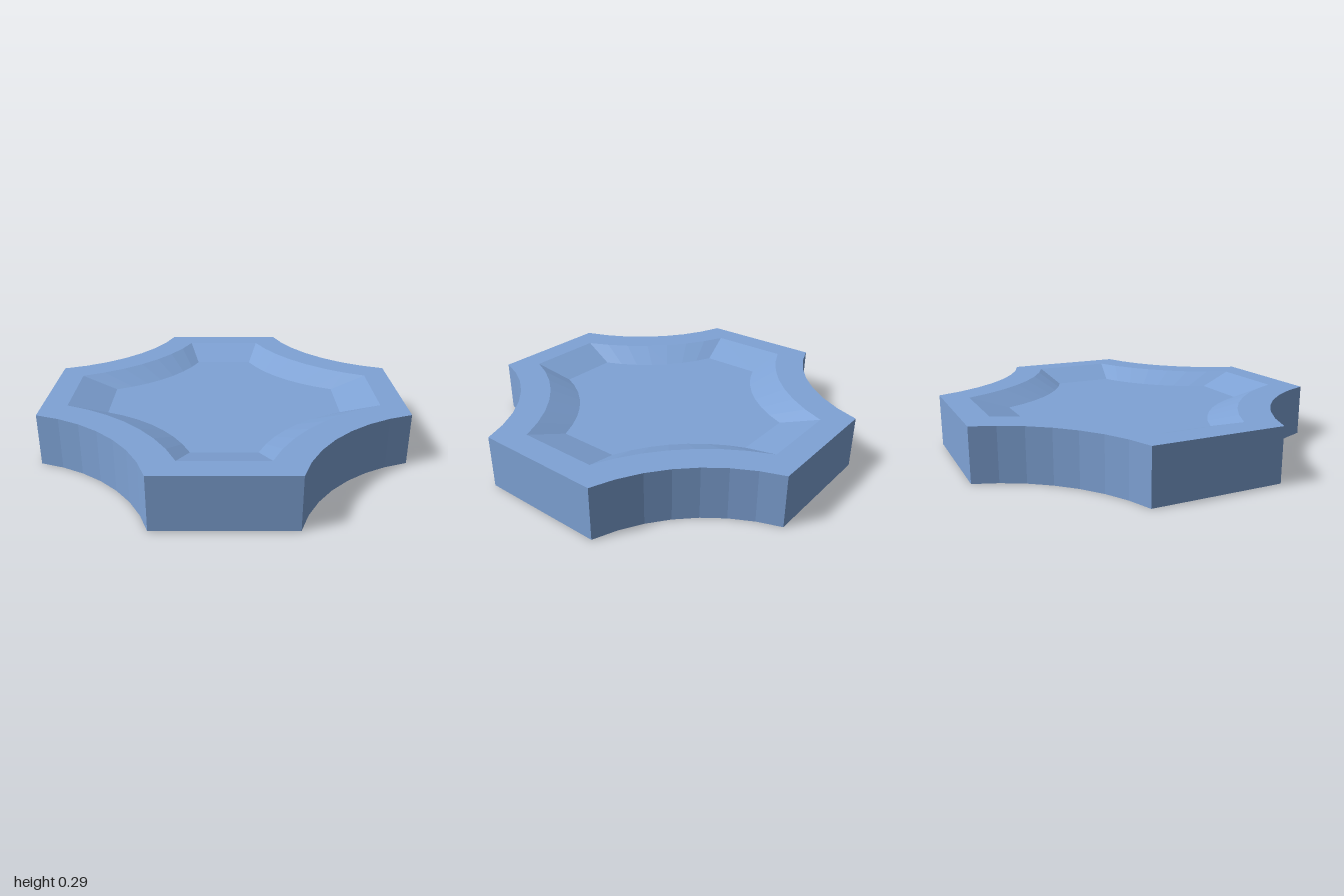
import * as THREE from 'three';

const SEGMENTS = 7; // facets per scooped corner
const CENTRE = 1.266; // x and z of the circle that scoops each corner

// Outline of four flat sides (at distance reach, half width half) joined by concave arcs
function scoopedOutline(reach, half) {
  const dx = reach - CENTRE, dz = half - CENTRE;
  const radius = Math.hypot(dx, dz);
  const start = Math.atan2(dz, dx);
  const sweep = 2 * (-0.75 * Math.PI - start);
  const points = [];
  for (let q = 0; q < 4; q++) {
    for (let i = 0; i <= SEGMENTS; i++) {
      const a = start + sweep * i / SEGMENTS;
      let x = CENTRE + radius * Math.cos(a), z = CENTRE + radius * Math.sin(a);
      for (let k = 0; k < q; k++) [x, z] = [-z, x];
      points.push([x, z]);
    }
  }
  return points;
}

const ring = (outline, y, scale = 1) =>
  outline.map(([x, z]) => new THREE.Vector3(x * scale, y, z * scale));

// Joins successive rings with flat faces; a ring scaled to zero closes the surface
function loft(rings) {
  const pts = [];
  for (let r = 0; r < rings.length - 1; r++) {
    const lower = rings[r], upper = rings[r + 1], n = lower.length;
    for (let i = 0; i < n; i++) {
      const a = lower[i], b = lower[(i + 1) % n];
      const c = upper[(i + 1) % n], d = upper[i];
      if (!c.equals(d)) pts.push(a, d, c);
      if (!a.equals(b)) pts.push(a, c, b);
    }
  }
  const geometry = new THREE.BufferGeometry().setFromPoints(pts);
  geometry.computeVertexNormals();
  return geometry;
}

export function createModel() {
  const group = new THREE.Group();
  group.name = 'scoopedTray';
  const material = new THREE.MeshStandardMaterial({ color: 0x7fa3d6, flatShading: true });

  const outer = scoopedOutline(1, 0.355);
  const inner = scoopedOutline(0.86, 0.225);
  const height = 0.29, floorY = 0.223, floorScale = 0.756;

  // Solid block: underside, upright sides and flat rim
  const block = new THREE.Mesh(loft([
    ring(outer, 0, 0), ring(outer, 0), ring(outer, height), ring(inner, height),
  ]), material);
  block.name = 'block';

  // Shallow recess: sloping walls and flat floor
  const recess = new THREE.Mesh(loft([
    ring(inner, height), ring(inner, floorY, floorScale), ring(inner, floorY, 0),
  ]), material);
  recess.name = 'recess';

  group.add(block, recess);
  return group;
}
